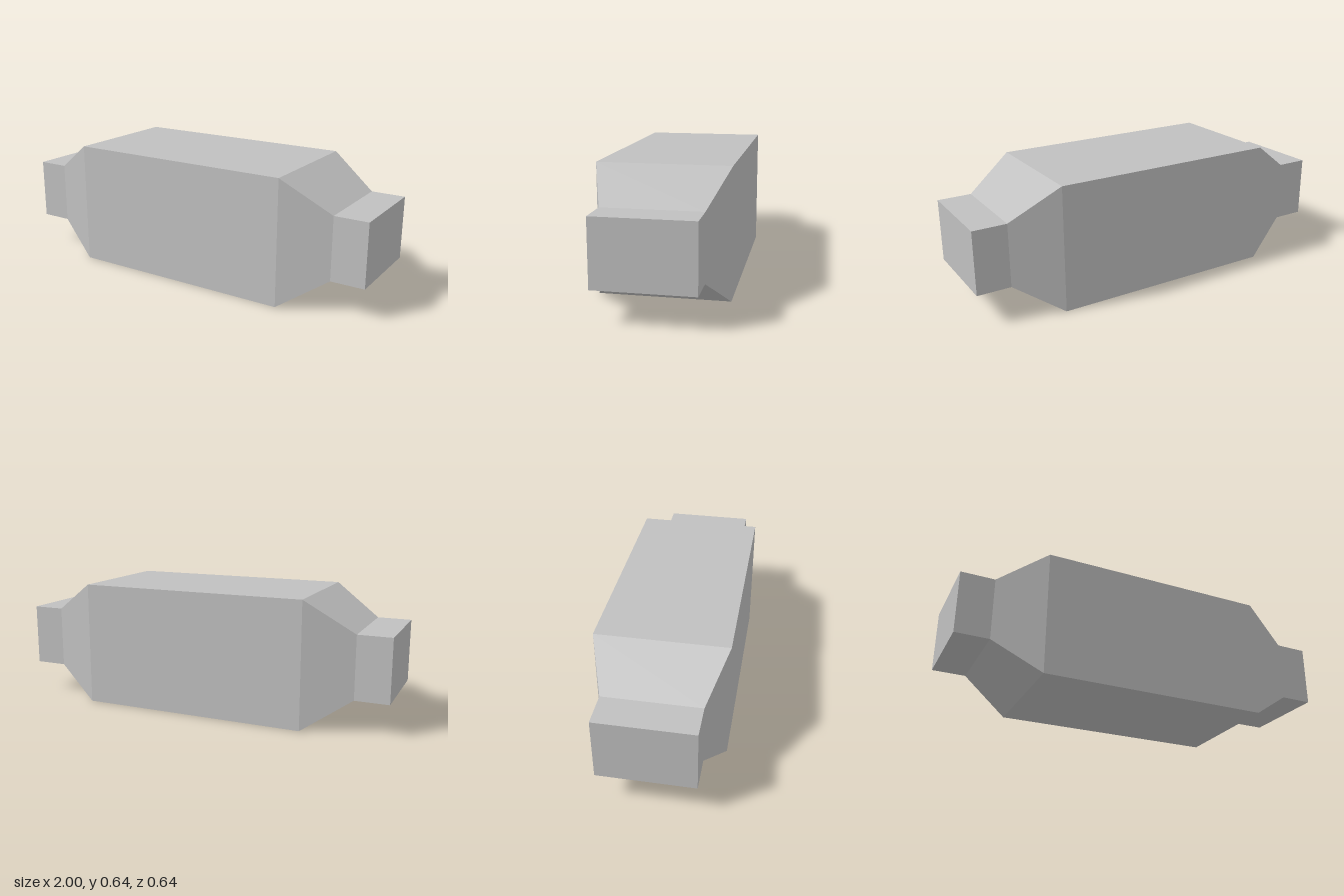
import * as THREE from 'three';

// Cross-sections along the length: x, half height, half depth
const sections = [
  [-1, 0.16, 0.235],
  [-0.83, 0.16, 0.235],
  [-0.59, 0.32, 0.32],
  [0.59, 0.32, 0.32],
  [0.83, 0.16, 0.235],
  [1, 0.16, 0.235],
];
const centreHeight = 0.32;

// Box sliced along x, each slice moved and scaled to its cross-section
function loftedBox() {
  const spans = sections.length - 1;
  const box = new THREE.BoxGeometry(spans, 2, 2, spans, 1, 1);
  const p = box.attributes.position;
  for (let i = 0; i < p.count; i++) {
    const [x, h, d] = sections[Math.round(p.getX(i) + spans / 2)];
    p.setXYZ(i, x, centreHeight + Math.sign(p.getY(i)) * h, Math.sign(p.getZ(i)) * d);
  }
  const geometry = box.toNonIndexed();
  geometry.clearGroups();
  geometry.computeVertexNormals();
  return geometry;
}

export function createModel() {
  const model = new THREE.Group();
  const grey = new THREE.MeshStandardMaterial({ color: 0xc0c0c0 });
  grey.name = 'lightGrey';
  grey.flatShading = true;

  // Main body with tapered shoulders and narrow square-cut ends
  const body = new THREE.Mesh(loftedBox(), grey);
  body.name = 'taperedBody';
  model.add(body);
  return model;
}
